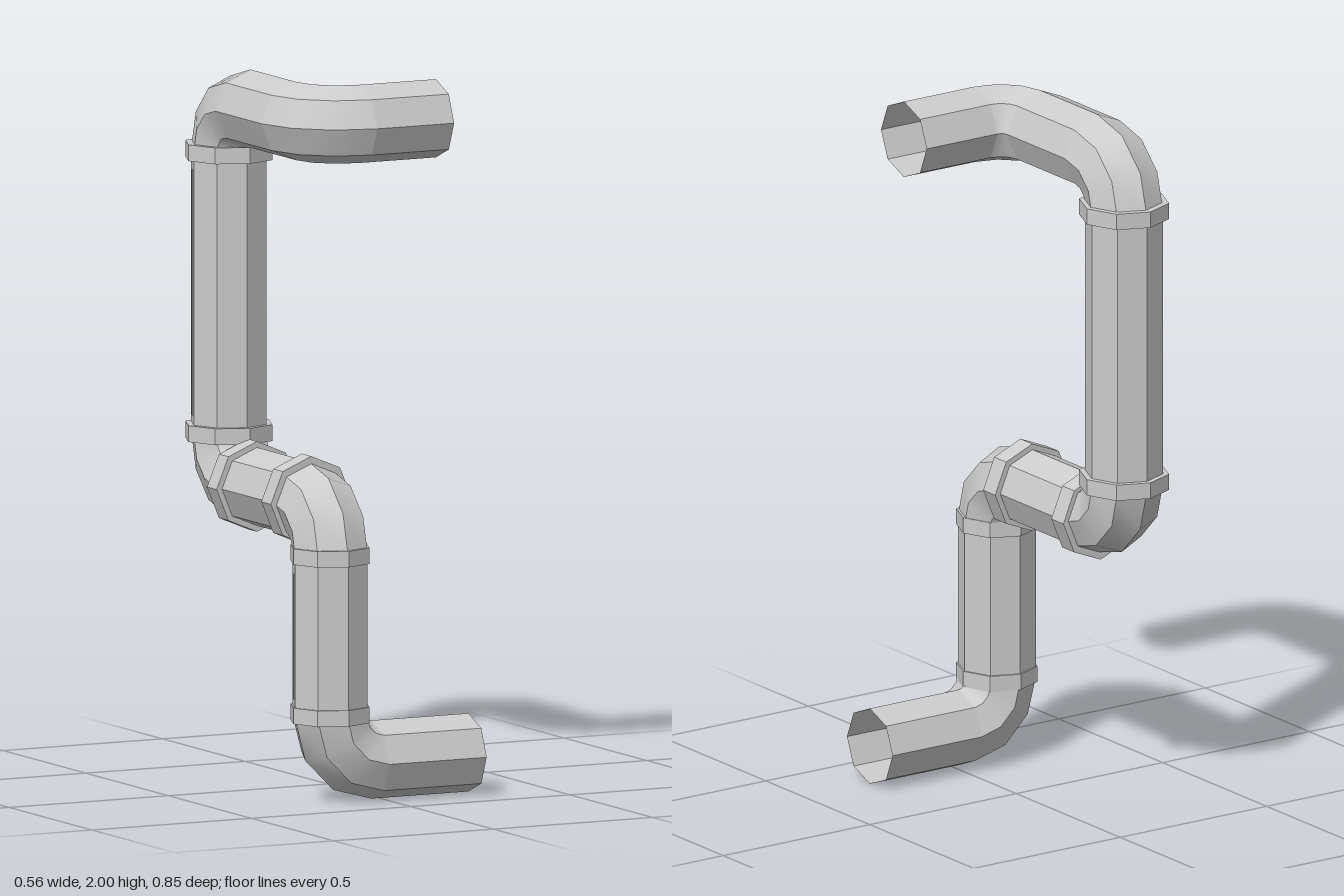
import * as THREE from 'three';
import { toCreasedNormals } from 'three/addons/utils/BufferGeometryUtils.js';

const SIDES = 8, PIPE_R = 0.11, BEND_R = 0.13, BEND_STEPS = 3;
const UP = new THREE.Vector3(0, 1, 0);

const flat = new THREE.MeshStandardMaterial({ color: 0xcccccc, flatShading: true, side: THREE.DoubleSide });
const smooth = new THREE.MeshStandardMaterial({ color: 0xcccccc, side: THREE.DoubleSide });

function add(group, name, geometry, material) {
  const mesh = new THREE.Mesh(geometry, material);
  mesh.name = name;
  group.add(mesh);
  return mesh;
}

// Open octagonal tube between two points
function straight(group, a, b) {
  const dir = b.clone().sub(a);
  const geo = new THREE.CylinderGeometry(PIPE_R, PIPE_R, dir.length(), SIDES, 1, true);
  const mesh = add(group, 'straightPipe', geo, flat);
  mesh.position.copy(a).add(b).multiplyScalar(0.5);
  mesh.quaternion.setFromUnitVectors(UP, dir.normalize());
}

// Quarter-turn elbow: octagonal rings swept round a corner
function elbow(group, corner, din, dout) {
  const center = corner.clone().addScaledVector(dout, BEND_R).addScaledVector(din, -BEND_R);
  const side = dout.clone().cross(din);
  const pos = [], idx = [];
  for (let s = 0; s <= BEND_STEPS; s++) {
    const t = (s / BEND_STEPS) * Math.PI / 2;
    const radial = dout.clone().multiplyScalar(-Math.cos(t)).addScaledVector(din, Math.sin(t));
    for (let i = 0; i < SIDES; i++) {
      const f = (i / SIDES) * Math.PI * 2;
      const p = center.clone()
        .addScaledVector(radial, BEND_R + PIPE_R * Math.cos(f))
        .addScaledVector(side, PIPE_R * Math.sin(f));
      pos.push(p.x, p.y, p.z);
      if (s < BEND_STEPS) {
        const j = (i + 1) % SIDES, a = s * SIDES, b = a + SIDES;
        idx.push(a + i, a + j, b + i, a + j, b + j, b + i);
      }
    }
  }
  const geo = new THREE.BufferGeometry();
  geo.setAttribute('position', new THREE.Float32BufferAttribute(pos, 3));
  geo.setIndex(idx);
  add(group, 'elbow', toCreasedNormals(geo, 0.6), smooth);
}

// Octagonal ring clamped round the pipe
function collar(group, position, dir, radius, length) {
  const h = length / 2, inner = PIPE_R - 0.004;
  const profile = [[inner, -h], [radius, -h], [radius, h], [inner, h], [inner, -h]]
    .map(([x, y]) => new THREE.Vector2(x, y));
  const mesh = add(group, 'collar', new THREE.LatheGeometry(profile, SIDES), flat);
  mesh.position.copy(position);
  mesh.quaternion.setFromUnitVectors(UP, dir);
}

// Narrow seam strip along one rear facet of an upright pipe
function seam(group, x, y, z, length) {
  const a = Math.PI / 8, apothem = PIPE_R * Math.cos(a), shift = 0.016;
  const nx = -Math.cos(a), nz = -Math.sin(a);
  const mesh = add(group, 'seamStrip', new THREE.BoxGeometry(0.025, length, 0.006), flat);
  mesh.position.set(x + nx * apothem + nz * shift, y, z + nz * apothem - nx * shift);
  mesh.rotation.y = Math.atan2(nx, nz);
}

export function createModel() {
  const model = new THREE.Group();
  model.name = 'bentPipe';
  const X = -0.154, FRONT = 0.31, BACK = -0.302;

  // Centre line: open ends with right-angle corners between them
  const path = [
    [0.28, 0.112, FRONT], [X, 0.112, FRONT], [X, 0.832, FRONT], [X, 0.832, BACK],
    [X, 1.89, BACK], [X, 1.89, 0.235], [0.217, 1.89, 0.235],
  ].map((p) => new THREE.Vector3(...p));

  for (let i = 0; i < path.length - 1; i++) {
    const dir = path[i + 1].clone().sub(path[i]).normalize();
    const last = i === path.length - 2;
    const a = path[i].clone().addScaledVector(dir, i === 0 ? 0 : BEND_R);
    const b = path[i + 1].clone().addScaledVector(dir, last ? 0 : -BEND_R);
    straight(model, a, b);
    if (!last) {
      const next = path[i + 2].clone().sub(path[i + 1]).normalize();
      elbow(model, path[i + 1], dir, next);
    }
  }

  // Collars at the joints: slim on the lower upright, wider above
  for (const y of [0.25, 0.698]) collar(model, new THREE.Vector3(X, y, FRONT), UP, 0.115, 0.045);
  for (const y of [0.967, 1.757]) collar(model, new THREE.Vector3(X, y, BACK), UP, 0.127, 0.046);
  const forward = new THREE.Vector3(0, 0, 1);
  for (const z of [0.168, -0.16]) collar(model, new THREE.Vector3(X, 0.832, z), forward, 0.127, 0.058);

  // Seam strips on the two uprights
  seam(model, X, 0.47, FRONT, 0.35);
  seam(model, X, 1.36, BACK, 0.69);

  return model;
}
